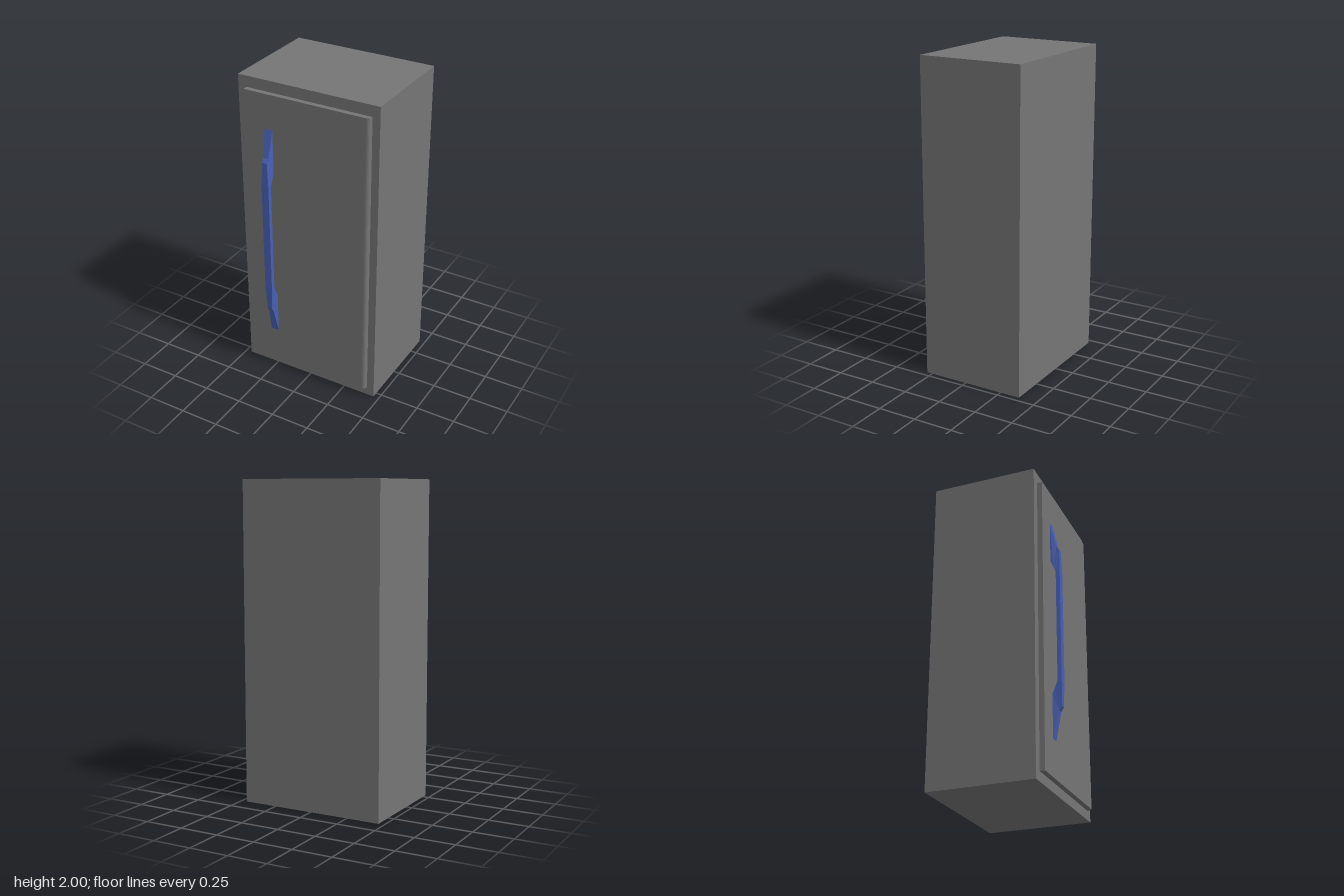
import * as THREE from 'three';

export function createModel() {
  const model = new THREE.Group();
  const grey = new THREE.MeshStandardMaterial({ color: 0x757575 });
  grey.name = 'cabinetGrey';
  const blue = new THREE.MeshStandardMaterial({ color: 0x4860b4, flatShading: true });
  blue.name = 'handleBlue';

  const add = (name, geometry, material) => {
    const mesh = new THREE.Mesh(geometry, material);
    mesh.name = name;
    model.add(mesh);
    return mesh;
  };

  // Cabinet body
  add('cabinet', new THREE.BoxGeometry(0.926, 2, 0.668), grey).position.set(0, 1, -0.046);

  // Door: plan outline (x, -z) extruded upwards, with its left front edge rounded
  const plan = new THREE.Shape();
  plan.moveTo(-0.407, -0.286);
  plan.lineTo(-0.407, -0.32);
  plan.lineTo(0.39, -0.32);
  plan.quadraticCurveTo(0.415, -0.32, 0.415, -0.295);
  plan.lineTo(0.415, -0.286);
  const door = new THREE.ExtrudeGeometry(plan, { depth: 1.87, bevelEnabled: false, curveSegments: 6 });
  door.rotateX(-Math.PI / 2);
  add('door', door, grey).position.y = 0.06;

  // Handle sections: outer y, z, half width, then inner y, z, half width
  const upper = [
    [1.71, 0.32, 0.027, 1.44, 0.32, 0.028],
    [1.54, 0.357, 0.017, 1.395, 0.338, 0.027],
    [1.515, 0.373, 0.016, 1.375, 0.346, 0.027],
    [1.36, 0.377, 0.024, 1.355, 0.352, 0.026],
  ];
  const lower = upper.map(([oy, oz, ow, iy, iz, iw]) => [2 - oy, oz, ow, 2 - iy, iz, iw]).reverse();
  const sections = [...upper, ...lower];
  const points = [];
  const faces = [];
  sections.forEach(([oy, oz, ow, iy, iz, iw], i) => {
    points.push(-ow, oy, oz, ow, oy, oz, iw, iy, iz, -iw, iy, iz);
    if (i === 0) return;
    for (let k = 0; k < 4; k++) {
      const a = (i - 1) * 4 + k;
      const b = (i - 1) * 4 + ((k + 1) % 4);
      faces.push(a, a + 4, b, b, a + 4, b + 4);
    }
  });
  const handle = new THREE.BufferGeometry();
  handle.setAttribute('position', new THREE.Float32BufferAttribute(points, 3));
  handle.setIndex(faces);
  const flatHandle = handle.toNonIndexed();
  flatHandle.computeVertexNormals();
  add('handle', flatHandle, blue).position.x = -0.245;

  return model;
}
